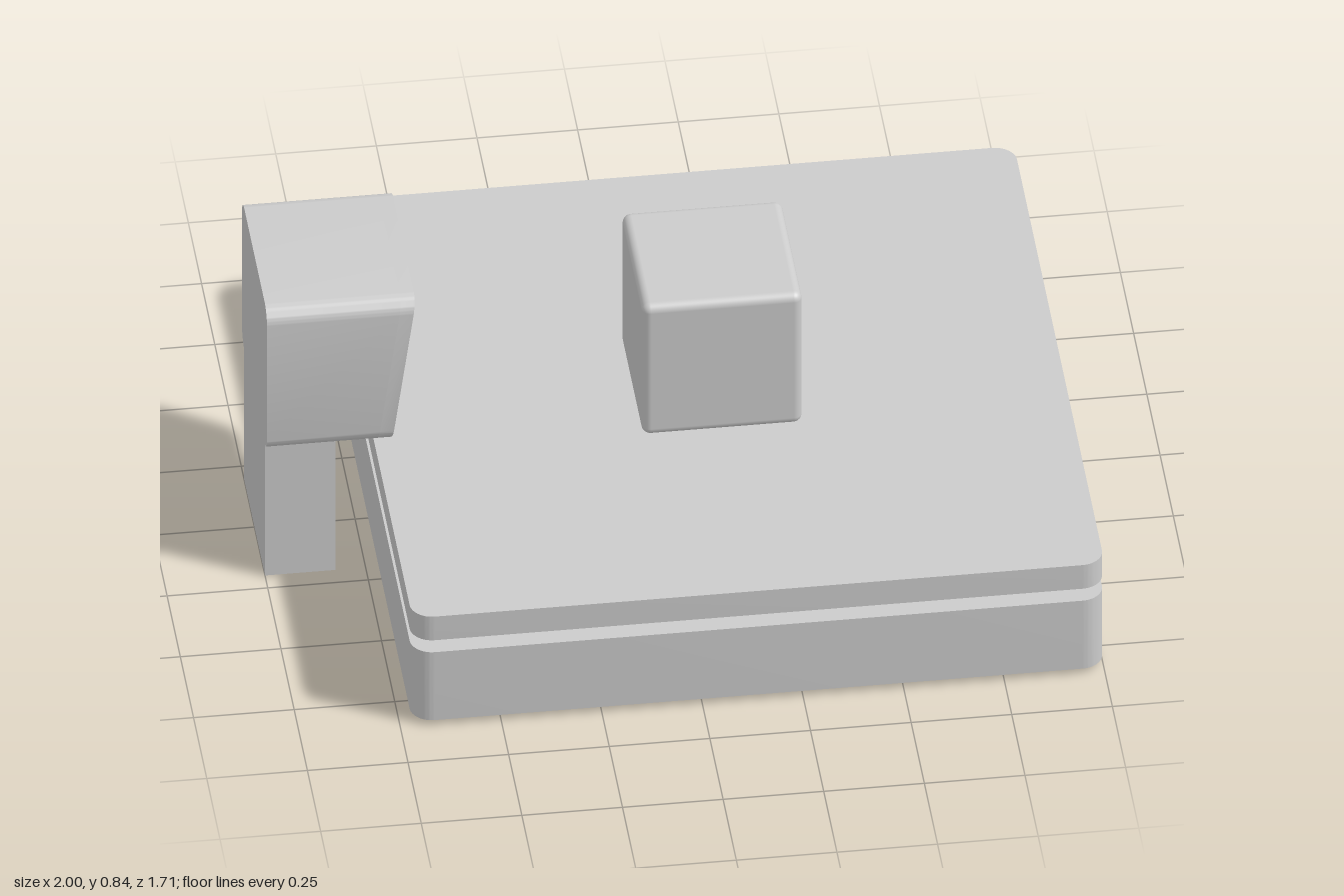
import * as THREE from 'three';
import { toCreasedNormals } from 'three/addons/utils/BufferGeometryUtils.js';
import { RoundedBoxGeometry } from 'three/addons/geometries/RoundedBoxGeometry.js';

const grey = new THREE.MeshStandardMaterial({ color: 0xcccccc });
const red = new THREE.MeshStandardMaterial({ color: 0xd00c1c });

// Rectangle centred on (0, cy) with rounded corners
function roundedRect(w, h, r, cy = 0) {
  const x = w / 2 - r, y = h / 2 - r;
  const s = new THREE.Shape();
  s.absarc(x, cy + y, r, 0, Math.PI / 2);
  s.absarc(-x, cy + y, r, Math.PI / 2, Math.PI);
  s.absarc(-x, cy - y, r, Math.PI, Math.PI * 1.5);
  s.absarc(x, cy - y, r, Math.PI * 1.5, Math.PI * 2);
  s.closePath();
  return s;
}

function rectHole(w, h, cy) {
  const x = w / 2, y = h / 2;
  return new THREE.Path([[-x, cy - y], [-x, cy + y], [x, cy + y], [x, cy - y]]
    .map(([a, b]) => new THREE.Vector2(a, b))).closePath();
}

// Slanted front of the head, x as a function of height
const frontX = (y) => -0.69 + (y - 0.405) * 0.138;

// Extrudes a (z, y) outline along x between two surfaces x = from(y) and x = to(y)
function extrudeBetween(shape, from, to) {
  const g = new THREE.ExtrudeGeometry(shape, { depth: 1, bevelEnabled: false, curveSegments: 8 });
  g.rotateY(Math.PI / 2);
  const p = g.attributes.position;
  for (let i = 0; i < p.count; i++) {
    const y = p.getY(i);
    p.setX(i, THREE.MathUtils.lerp(from(y), to(y), p.getX(i)));
  }
  return toCreasedNormals(g, 0.6);
}

export function createModel() {
  const model = new THREE.Group();
  const add = (name, geometry, material = grey, parent = model) => {
    const mesh = new THREE.Mesh(geometry, material);
    mesh.name = name;
    parent.add(mesh);
    return mesh;
  };

  // Two stacked platform slabs with an open gap between them
  for (const [name, y0, y1] of [['baseSlab', 0.015, 0.225], ['topPlate', 0.262, 0.335]]) {
    const g = new THREE.ExtrudeGeometry(roundedRect(1.72, 1.714, 0.055),
      { depth: y1 - y0, bevelEnabled: false, curveSegments: 8 });
    g.rotateX(-Math.PI / 2);
    add(name, toCreasedNormals(g, 0.6)).position.set(0.14, y0, 0);
  }

  // Soft-edged cube resting on the plate
  add('cube', new RoundedBoxGeometry(0.398, 0.4, 0.398, 4, 0.022)).position.set(0.137, 0.535, 0);

  // Post beside the platform
  add('post', new THREE.BoxGeometry(0.175, 0.41, 0.398)).position.set(-0.9125, 0.205, 0);

  // Display head: solid body, raised rim and recessed screen
  const head = new THREE.Group();
  head.name = 'displayHead';
  model.add(head);
  const cy = 0.6225, depth = 0.035;
  const inset = (y) => frontX(y) - depth;
  add('headBody', extrudeBetween(roundedRect(0.475, 0.435, 0.045, cy), () => -1, inset), grey, head);
  const rim = roundedRect(0.475, 0.435, 0.045, cy);
  rim.holes.push(rectHole(0.4, 0.36, cy));
  add('screenRim', extrudeBetween(rim, inset, frontX), grey, head);
  const screen = new THREE.Shape(rectHole(0.4, 0.36, cy).getPoints().reverse());
  add('screen', extrudeBetween(screen, inset, (y) => inset(y) + 0.004), red, head);

  return model;
}
